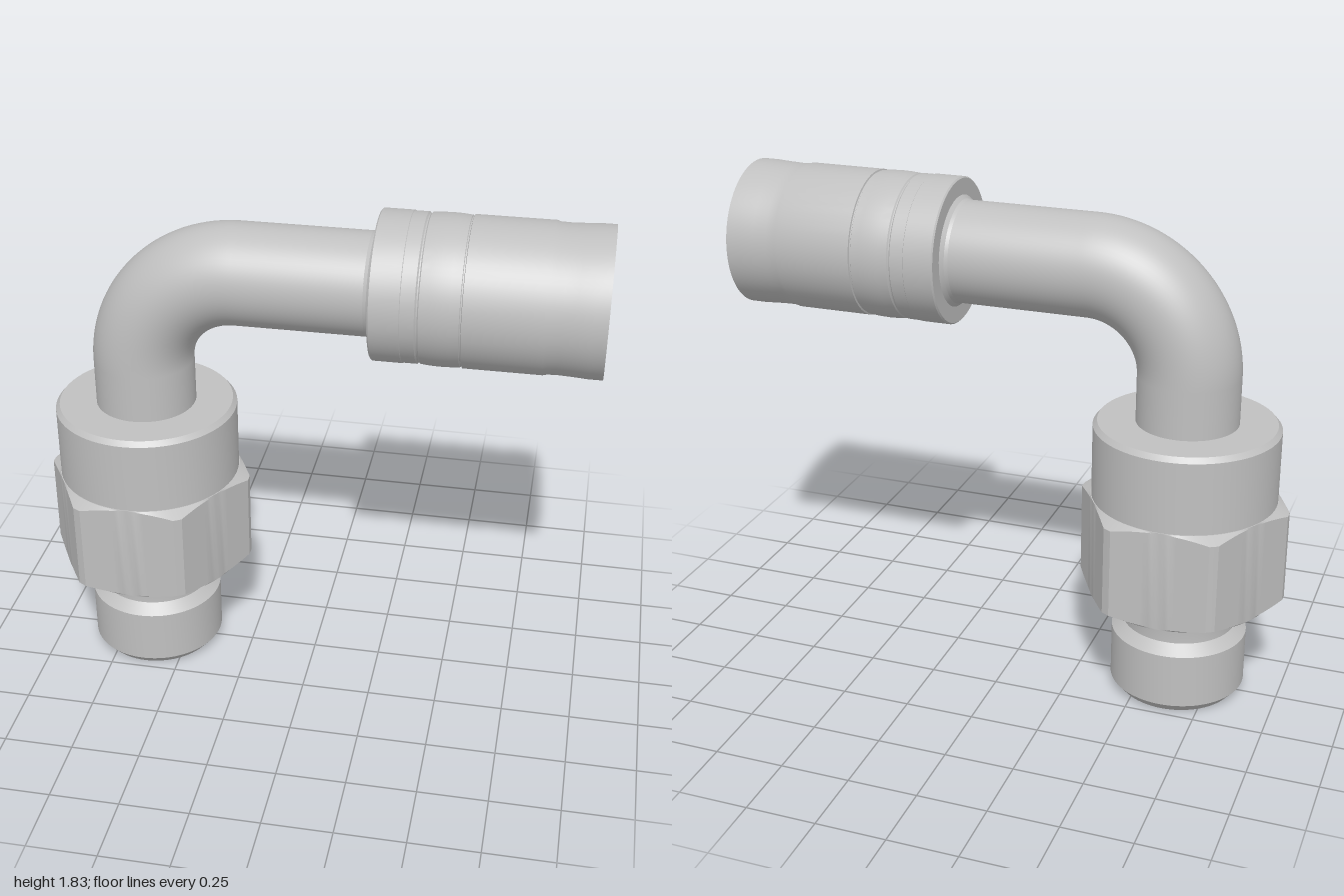
import * as THREE from 'three';
import { toCreasedNormals } from 'three/addons/utils/BufferGeometryUtils.js';

const AXIS_X = -0.625; // vertical axis of the screw fitting
const AXIS_Y = 1.57;   // horizontal axis of the hose end

export function createModel() {
  const group = new THREE.Group();
  const steel = new THREE.MeshStandardMaterial({ color: 0xc0c0c0, side: THREE.DoubleSide });
  steel.name = 'steel';

  const add = (name, geometry) => {
    const mesh = new THREE.Mesh(geometry, steel);
    mesh.name = name;
    group.add(mesh);
    return mesh;
  };
  const lathe = (points, segments = 72) =>
    new THREE.LatheGeometry(points.map(([r, y]) => new THREE.Vector2(r, y)), segments);
  const upright = (name, points) => {
    add(name, toCreasedNormals(lathe(points), 0.4)).position.x = AXIS_X;
  };
  // profile given as [radius, x] about the hose axis
  const sideways = (name, points) => {
    const g = toCreasedNormals(lathe(points), 0.3).rotateZ(-Math.PI / 2);
    add(name, g).position.y = AXIS_Y;
  };

  // Stud with conical bore, chamfered ends and undercut neck
  upright('threadedStud', [
    [0.13, 0.26], [0.165, 0], [0.215, 0], [0.245, 0.035], [0.245, 0.235],
    [0.205, 0.27], [0.205, 0.355], [0.21, 0.375], [0.225, 0.392],
  ]);

  // Hexagon nut: a lathe whose rim is pushed onto six flats, with turned-off corners
  const flat = 0.333, low = 0.39, high = 0.762;
  const cornerR = flat / Math.cos(THREE.MathUtils.degToRad(27.5));
  const hex = lathe([[0.2, low], [flat, low], [0.37, low + 0.01],
    [0.37, high - 0.01], [flat, high], [0.3, high]], 144);
  const p = hex.attributes.position;
  const sector = Math.PI / 3;
  for (let i = 0; i < p.count; i++) {
    const x = p.getX(i), y = p.getY(i), z = p.getZ(i);
    if (Math.hypot(x, z) < 0.35) continue;
    const a = Math.atan2(x, z);
    const off = a - Math.round(a / sector) * sector;
    const r = Math.min(flat / Math.cos(off), cornerR);
    const drop = 0.004 + (r - flat) * 0.42;
    p.setXYZ(i, r * Math.sin(a), y < 0.5 ? low + drop : high - drop, r * Math.cos(a));
  }
  add('hexNut', toCreasedNormals(hex, 0.3)).position.x = AXIS_X;

  // Round collar above the nut
  upright('nutCollar', [
    [0.33, 0.74], [0.33, 1.025], [0.315, 1.043], [0.15, 1.043],
  ]);

  // Bent pipe: straight, quarter bend, straight
  const R = 0.355, k = R * 0.5523;
  const bendPath = (y0, x1) => {
    const v = (x, y) => new THREE.Vector3(x, y, 0);
    const a = v(AXIS_X, AXIS_Y - R), b = v(AXIS_X + R, AXIS_Y);
    const path = new THREE.CurvePath();
    path.add(new THREE.LineCurve3(v(AXIS_X, y0), a));
    path.add(new THREE.CubicBezierCurve3(a, v(a.x, a.y + k), v(b.x - k, b.y), b));
    path.add(new THREE.LineCurve3(b, v(x1, AXIS_Y)));
    return path;
  };
  add('bentPipe', new THREE.TubeGeometry(bendPath(0.9, 0.3), 110, 0.181, 64));
  add('pipeBore', new THREE.TubeGeometry(bendPath(0.26, 0.96), 130, 0.13, 48));

  // Crimped hose sleeve with fillet, seams, slight bulges and a flared open mouth
  sideways('hoseSleeve', [
    [0.18, 0.19], [0.185, 0.205], [0.197, 0.218], [0.255, 0.218], [0.26, 0.223],
    [0.26, 0.325], [0.258, 0.327], [0.258, 0.375], [0.253, 0.38], [0.253, 0.384],
    [0.257, 0.388], [0.26, 0.42], [0.261, 0.455], [0.26, 0.49], [0.257, 0.522],
    [0.254, 0.524], [0.254, 0.528], [0.26, 0.53], [0.26, 0.8],
    [0.256, 0.815], [0.255, 0.85], [0.257, 0.9], [0.26, 0.95], [0.26, 1],
    [0.257, 1], [0.237, 0.55], [0.15, 0.55],
  ]);

  // Inner nipple with rounded lip
  const lip = [[0.165, 0.5]];
  for (let i = 0; i <= 8; i++) {
    const t = (i / 8) * Math.PI;
    lip.push([0.1475 + 0.0175 * Math.cos(t), 0.97 + 0.0175 * Math.sin(t)]);
  }
  lip.push([0.13, 0.94]);
  sideways('hoseNipple', lip);

  return group;
}
